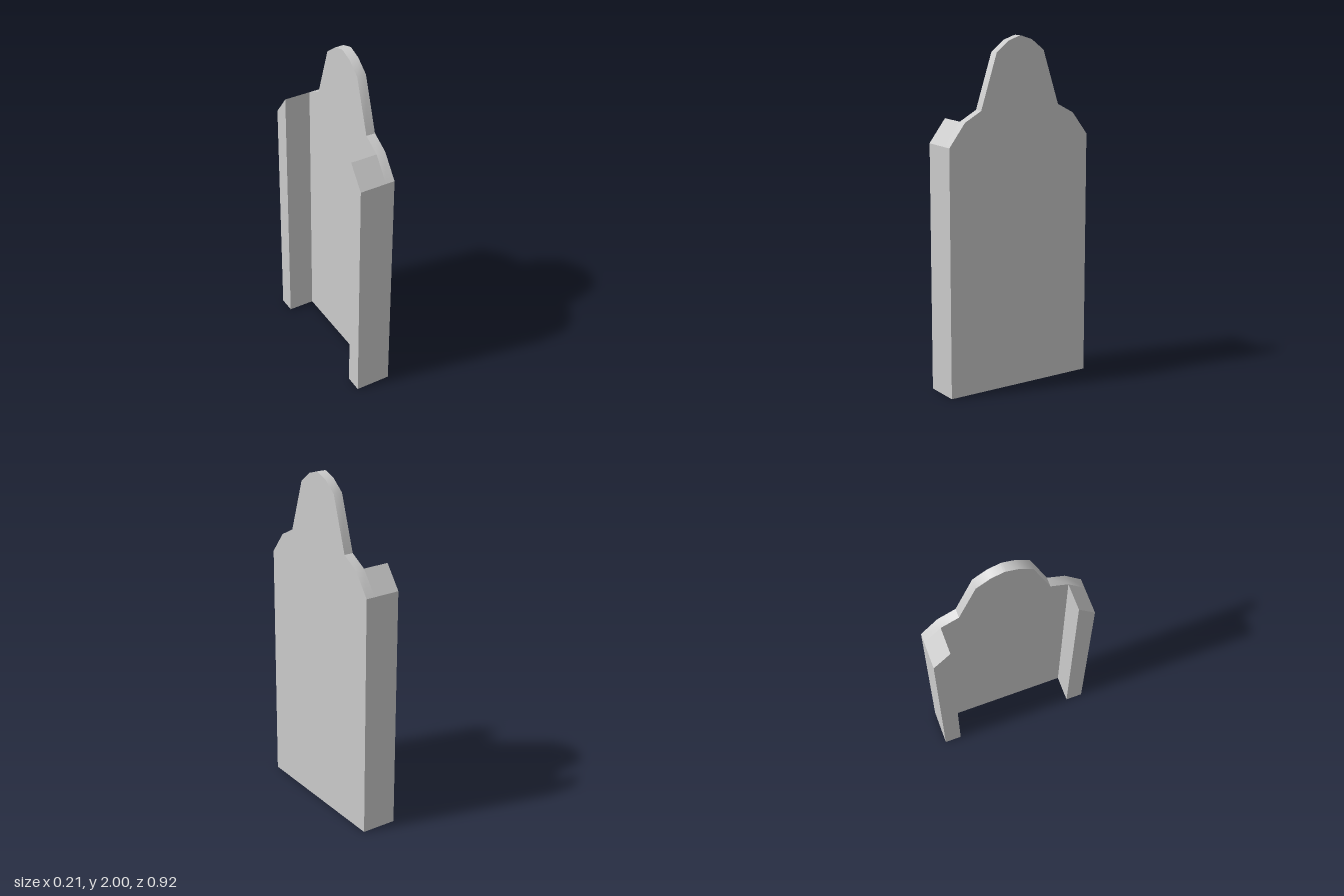
import * as THREE from 'three';
import { toCreasedNormals } from 'three/addons/utils/BufferGeometryUtils.js';

const BACK = -0.104, INNER = 0.051, FACE = 0.104;
const material = new THREE.MeshStandardMaterial({ color: 0xcccccc });

// Extrudes a (z, y) outline along x between two planes.
function slab(name, outline, x0, x1) {
  const shape = new THREE.Shape(outline.map(([z, y]) => new THREE.Vector2(-z, y)));
  const geometry = new THREE.ExtrudeGeometry(shape, { depth: x1 - x0, bevelEnabled: false });
  geometry.rotateY(Math.PI / 2).translate(x0, 0, 0);
  const mesh = new THREE.Mesh(toCreasedNormals(geometry, 0.6), material);
  mesh.name = name;
  return mesh;
}

export function createModel() {
  const group = new THREE.Group();
  group.name = 'panelWithSideFlanges';

  // Upright panel with stepped shoulders and a rounded crown
  const half = [
    [0.46, 0], [0.46, 1.42], [0.36, 1.55], [0.256, 1.606],
    [0.155, 1.915], [0.075, 1.977], [0.005, 2],
  ];
  const mirrored = half.map(([z, y]) => [-z, y]).reverse();
  group.add(slab('panel', [...half, ...mirrored], INNER, FACE));

  // Thick flanges along both edges, with sloping tops
  for (const [side, name] of [[1, 'frontFlange'], [-1, 'backFlange']]) {
    const outline = [[0.36, 0], [0.46, 0], [0.46, 1.42], [0.36, 1.55]];
    group.add(slab(name, outline.map(([z, y]) => [z * side, y]), BACK, INNER));
  }
  return group;
}
